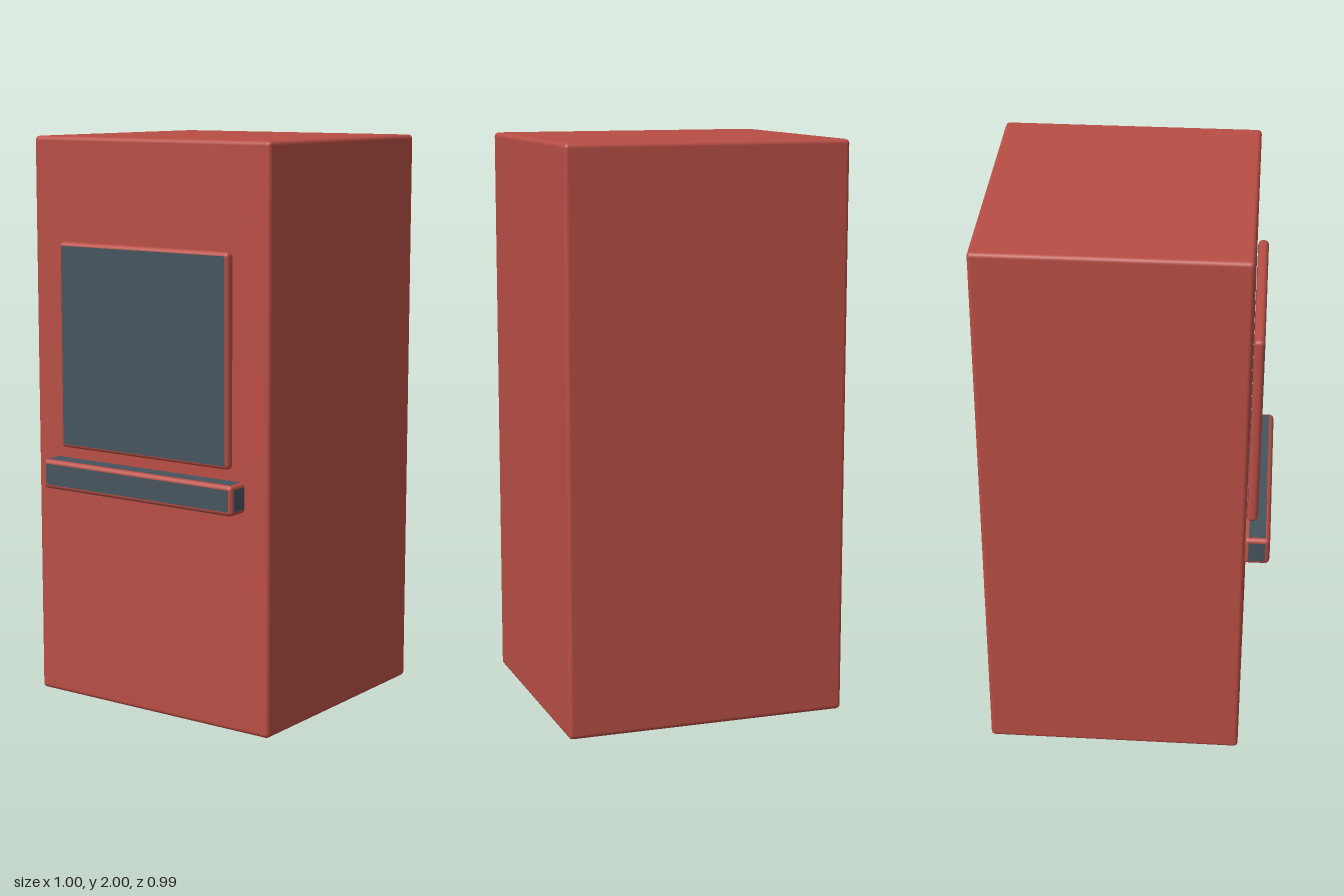
import * as THREE from 'three';
import { RoundedBoxGeometry } from 'three/addons/geometries/RoundedBoxGeometry.js';

const red = new THREE.MeshStandardMaterial({ color: 0xb84e45 });
red.name = 'red paint';
const slate = new THREE.MeshStandardMaterial({ color: 0x46545d });
slate.name = 'dark slate';

// Box with softly rounded edges, given by its centre and size
function roundedBox(name, size, centre, radius) {
  const mesh = new THREE.Mesh(new RoundedBoxGeometry(...size, 3, radius), red);
  mesh.name = name;
  mesh.position.set(...centre);
  return mesh;
}

// Thin slate plate lying on one flat face of a box; axis 0, 1, 2 = x, y, z
function facePlate(box, size, axis, sign, inset) {
  const dims = size.map((s, i) => (i === axis ? 0.002 : s - 2 * inset));
  const plate = new THREE.Mesh(new THREE.BoxGeometry(...dims), slate);
  plate.name = box.name + 'Panel';
  plate.position.setComponent(axis, sign * size[axis] / 2);
  box.add(plate);
}

export function createModel() {
  const model = new THREE.Group();
  model.name = 'cabinet';

  // Tall cabinet body
  model.add(roundedBox('body', [1, 2, 0.905], [0, 1, -0.0425], 0.015));

  // Screen with a red rim, slate on its front and back
  const screenSize = [0.724, 0.724, 0.036];
  const screen = roundedBox('screen', screenSize, [0, 1.277, 0.432], 0.015);
  for (const sign of [1, -1]) facePlate(screen, screenSize, 2, sign, 0.013);
  model.add(screen);

  // Shelf bar with slate panels on every side between the red edges
  const shelfSize = [0.816, 0.104, 0.088];
  const shelf = roundedBox('shelf', shelfSize, [0, 0.822, 0.451], 0.015);
  for (const axis of [0, 1, 2]) {
    for (const sign of [1, -1]) facePlate(shelf, shelfSize, axis, sign, 0.015);
  }
  model.add(shelf);

  return model;
}
